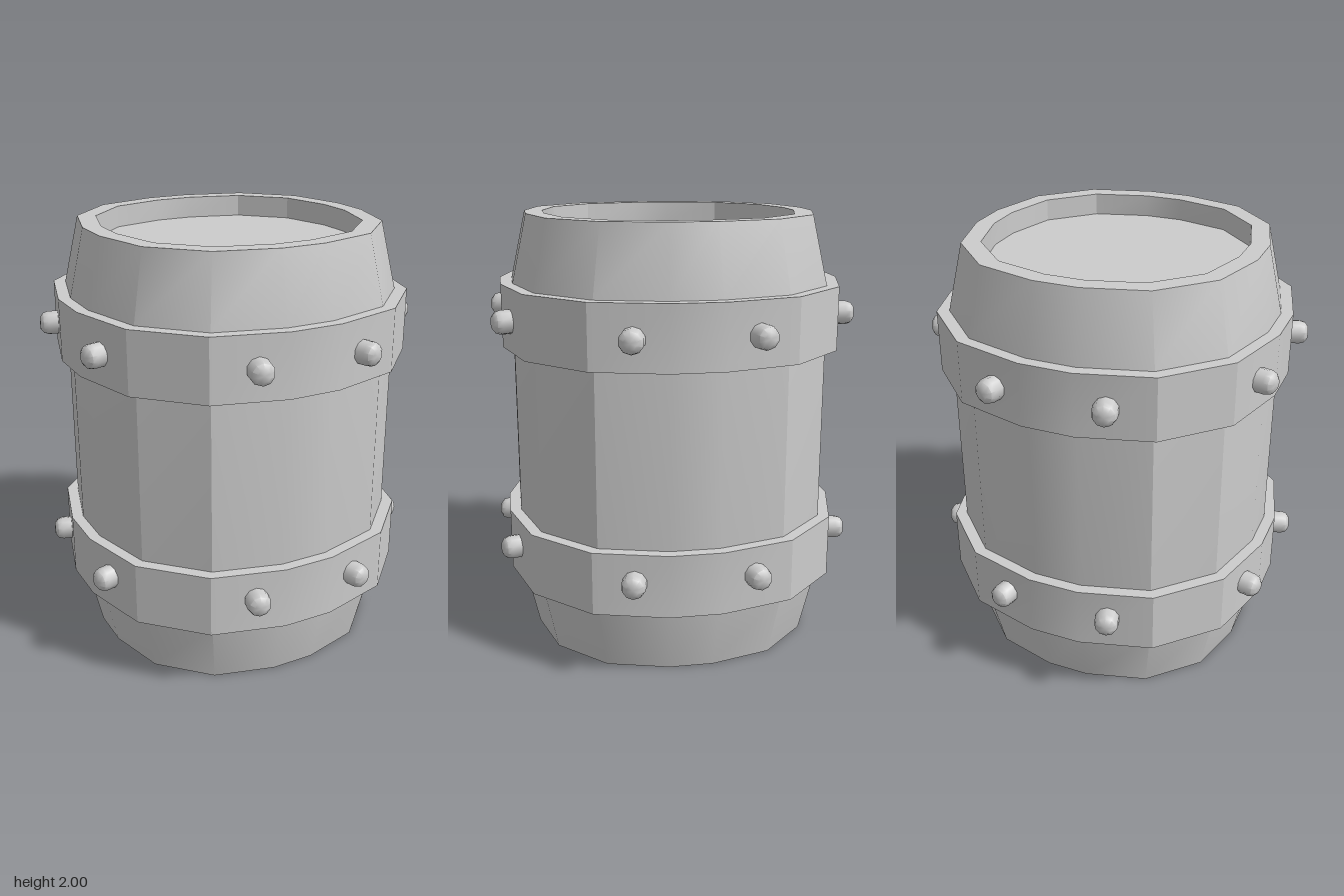
import * as THREE from 'three';
import { toCreasedNormals } from 'three/addons/utils/BufferGeometryUtils.js';

const material = new THREE.MeshStandardMaterial({ color: 0xcccccc });

// Sixteen-sided barrel outline of half-width 1: one quadrant turned four times
const outline = [];
for (let q = 0; q < 4; q++) {
  for (let [x, z] of [[0.152, 1], [0.57, 0.886], [0.886, 0.57], [1, 0.152]]) {
    for (let k = 0; k < q; k++) [x, z] = [z, -x];
    outline.push([x, z]);
  }
}

// Sweeps a profile of [half-width, height] pairs around the outline
function sweep(name, profile) {
  const n = outline.length, positions = [], index = [];
  for (const [r, y] of profile) {
    for (const [x, z] of outline) positions.push(x * r, y, z * r);
  }
  for (let j = 0; j < profile.length - 1; j++) {
    for (let i = 0; i < n; i++) {
      const k = (i + 1) % n;
      const a = j * n + i, b = j * n + k, c = a + n, d = b + n;
      if (profile[j][0] > 0) index.push(a, b, d);
      if (profile[j + 1][0] > 0) index.push(a, d, c);
    }
  }
  const geometry = new THREE.BufferGeometry();
  geometry.setAttribute('position', new THREE.Float32BufferAttribute(positions, 3));
  geometry.setIndex(index);
  const mesh = new THREE.Mesh(toCreasedNormals(geometry, 0.514), material);
  mesh.name = name;
  return mesh;
}

export function createModel() {
  const barrel = new THREE.Group();
  barrel.name = 'barrel';

  // Staves with tapered ends and a recessed lid and base
  barrel.add(sweep('body', [
    [0, 0.1], [0.58, 0.1], [0.58, 0], [0.663, 0],
    [0.733, 0.31], [0.735, 0.36], [0.735, 1.64], [0.733, 1.69],
    [0.663, 2], [0.58, 2], [0.58, 1.9], [0, 1.9],
  ]));

  // Rivet with a rounded, flat-tipped head, pointing along +z
  const profile = [[0.055, -0.03], [0.055, 0.045], [0.048, 0.068], [0.028, 0.083], [0, 0.083]];
  const rivetGeometry = toCreasedNormals(
    new THREE.LatheGeometry(profile.map(([r, y]) => new THREE.Vector2(r, y)), 10).rotateX(Math.PI / 2),
    0.7,
  );

  // Two hoops, each carrying eight rivets
  for (const [label, bottom, rivetY] of [['lower', 0.31, 0.47], ['upper', 1.4, 1.54]]) {
    const top = bottom + 0.29;
    barrel.add(sweep(label + 'Hoop', [[0.7, bottom], [0.787, bottom], [0.787, top], [0.7, top]]));
    const rivets = new THREE.Group();
    rivets.name = label + 'Rivets';
    for (const sx of [-1, 1]) {
      for (const sz of [-1, 1]) {
        for (const [x, z, degrees] of [[0.25, 0.75, 15], [0.745, 0.268, 75]]) {
          const rivet = new THREE.Mesh(rivetGeometry, material);
          const angle = THREE.MathUtils.degToRad(degrees);
          rivet.name = 'rivet';
          rivet.position.set(sx * x, rivetY, sz * z);
          rivet.rotation.y = Math.atan2(sx * Math.sin(angle), sz * Math.cos(angle));
          rivets.add(rivet);
        }
      }
    }
    barrel.add(rivets);
  }
  return barrel;
}
